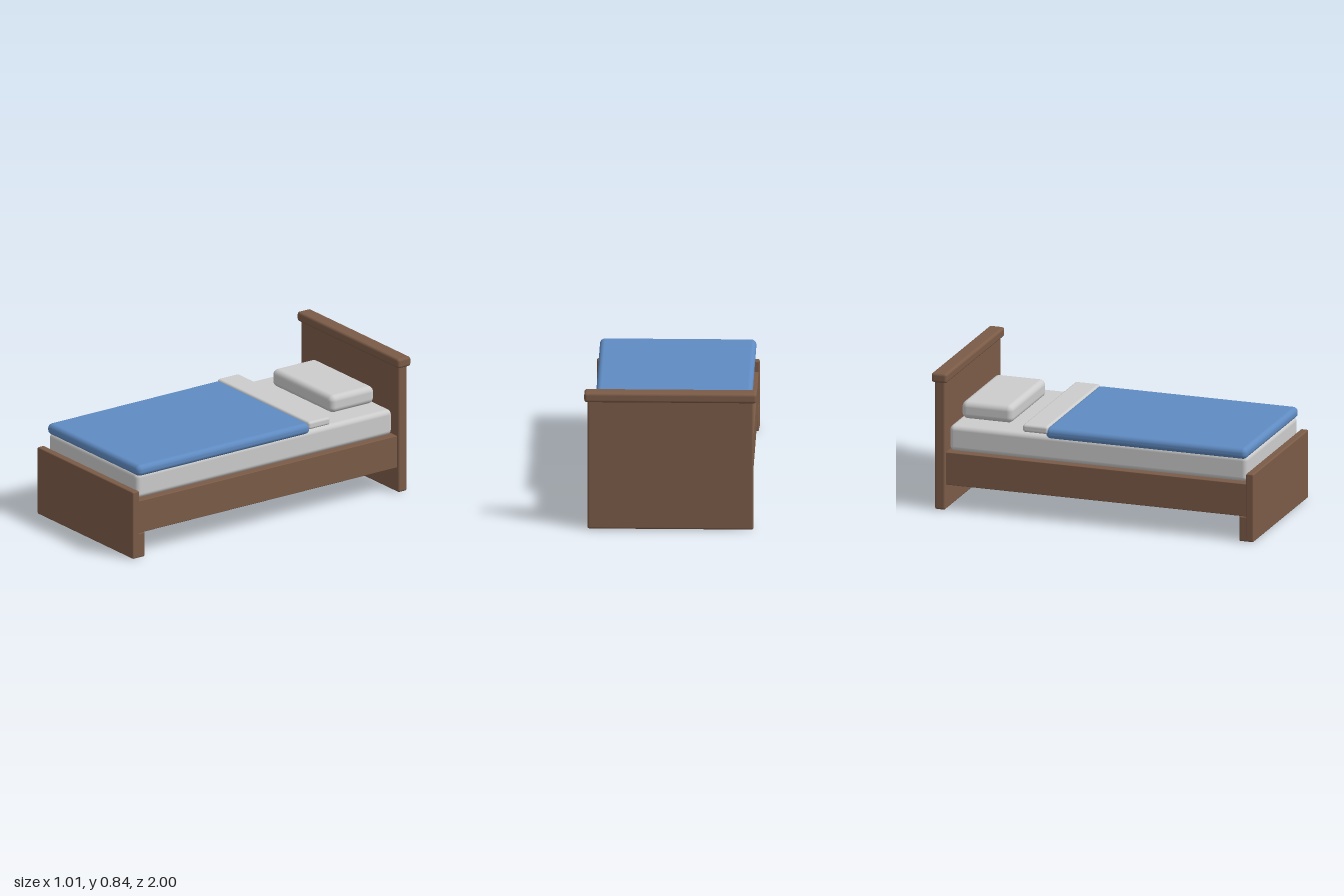
import * as THREE from 'three';
import { RoundedBoxGeometry } from 'three/addons/geometries/RoundedBoxGeometry.js';

const wood = new THREE.MeshStandardMaterial({ name: 'brown wood', color: 0x7b5b47 });
const linen = new THREE.MeshStandardMaterial({ name: 'white linen', color: 0xcccccc });
const cloth = new THREE.MeshStandardMaterial({ name: 'blue cloth', color: 0x5f8bc2 });

// Rounded block given by its [min, max] extent on each axis
function block(name, material, [x0, x1], [y0, y1], [z0, z1], radius) {
  const geometry = new RoundedBoxGeometry(x1 - x0, y1 - y0, z1 - z0, 4, radius);
  const mesh = new THREE.Mesh(geometry, material);
  mesh.name = name;
  mesh.position.set((x0 + x1) / 2, (y0 + y1) / 2, (z0 + z1) / 2);
  return mesh;
}

export function createModel() {
  const bed = new THREE.Group();
  bed.name = 'bed';

  // Wooden frame
  bed.add(
    block('headboard', wood, [-0.487, 0.487], [0.004, 0.81], [-0.985, -0.92], 0.012),
    block('headboardCap', wood, [-0.506, 0.506], [0.786, 0.845], [-1, -0.904], 0.016),
    block('footboard', wood, [-0.477, 0.477], [0.004, 0.421], [0.953, 1], 0.008),
    block('bedBase', wood, [-0.471, 0.471], [0.156, 0.356], [-0.95, 0.965], 0.004)
  );

  // Front legs
  for (const side of [-1, 1]) {
    const xs = side > 0 ? [0.407, 0.474] : [-0.474, -0.407];
    bed.add(block(side > 0 ? 'leftLeg' : 'rightLeg', wood, xs, [0.002, 0.157], [0.908, 0.998], 0.01));
  }

  // Bedding
  bed.add(
    block('mattress', linen, [-0.442, 0.442], [0.356, 0.513], [-0.912, 0.947], 0.03),
    block('pillow', linen, [-0.3, 0.3], [0.514, 0.622], [-0.888, -0.568], 0.035),
    block('sheetFold', linen, [-0.459, 0.459], [0.525, 0.572], [-0.447, -0.29], 0.015),
    block('blanket', cloth, [-0.459, 0.459], [0.497, 0.565], [-0.307, 0.948], 0.03)
  );
  return bed;
}
